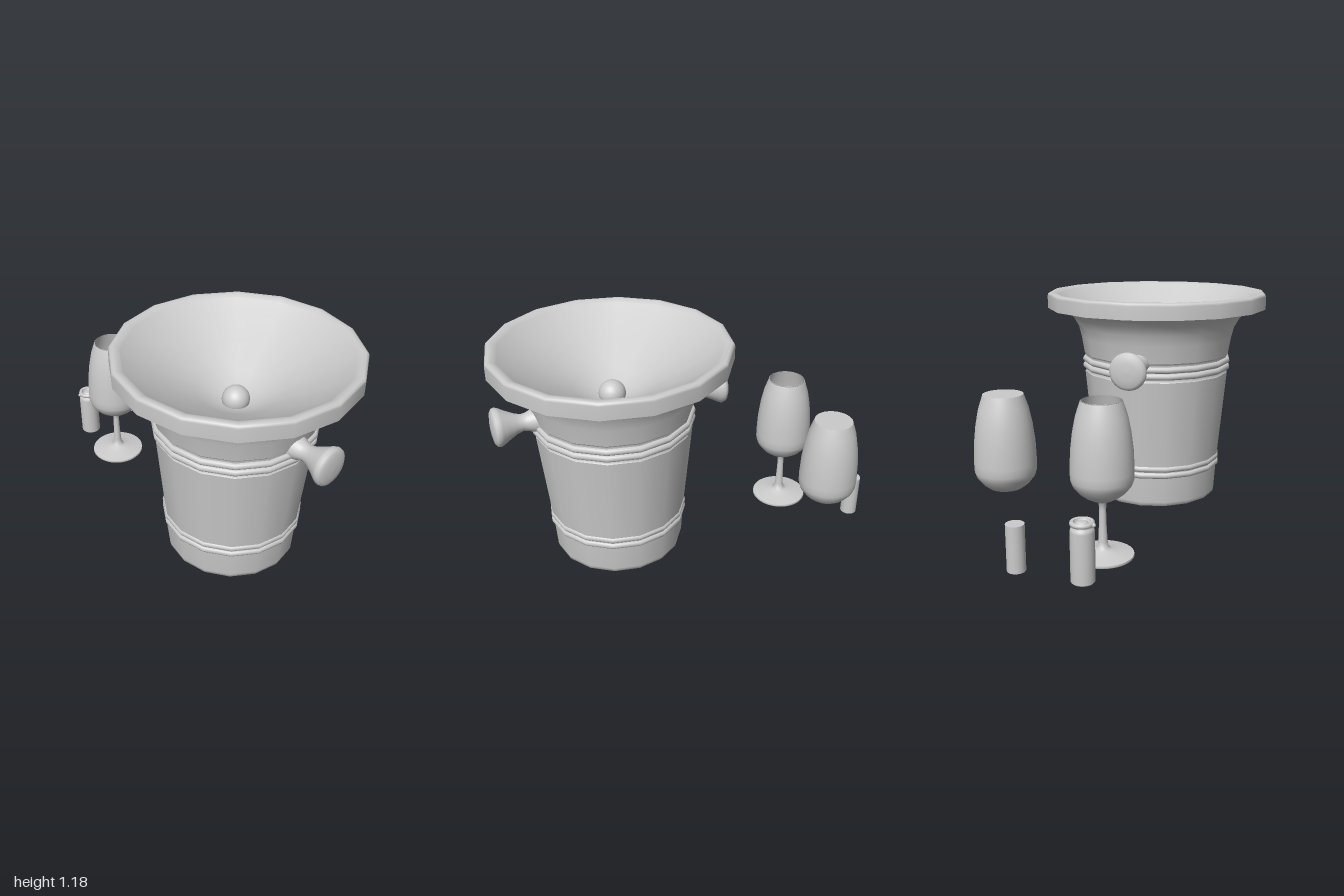
import * as THREE from 'three';

const grey = new THREE.MeshStandardMaterial({ color: 0xcccccc, side: THREE.DoubleSide });

// Spins one or more [radius, y] profiles; edges between separate profiles stay sharp.
function lathe(name, sides, ...profiles) {
  const part = new THREE.Group();
  part.name = name;
  for (const profile of profiles) {
    const points = profile.map(([r, y]) => new THREE.Vector2(r, y));
    const mesh = new THREE.Mesh(new THREE.LatheGeometry(points, sides), grey);
    mesh.name = name + 'Surface';
    part.add(mesh);
  }
  return part;
}

// Rounded double moulding that runs round the bucket wall
function moulding(name, y, radius) {
  const band = new THREE.Group();
  band.name = name;
  for (const offset of [-0.018, 0.019]) {
    const profile = [];
    for (let i = 0; i <= 8; i++) {
      const a = -Math.PI / 2 + (i / 8) * Math.PI;
      profile.push([radius - 0.016 + 0.016 * Math.cos(a), y + offset + 0.0175 * Math.sin(a)]);
    }
    band.add(lathe(name + 'Bead', 16, profile));
  }
  return band;
}

function createBucket() {
  const bucket = new THREE.Group();
  bucket.name = 'bucket';

  // Tapered wall flaring out under the rim
  bucket.add(lathe('bucketBody', 16,
    [[0, 0.004], [0.335, 0.004]],
    [[0.335, 0.004], [0.346, 0.008], [0.352, 0.03], [0.361, 0.17]],
    [[0.361, 0.17], [0.368, 0.25], [0.414, 0.73]],
    [[0.414, 0.73], [0.405, 0.742], [0.405, 0.822], [0.416, 0.835]],
    [[0.416, 0.835], [0.432, 0.93], [0.447, 0.99], [0.475, 1.04], [0.51, 1.075], [0.545, 1.096]]));

  // Thick rim
  bucket.add(lathe('rim', 16,
    [[0.53, 1.095], [0.62, 1.095]],
    [[0.62, 1.095], [0.62, 1.165], [0.616, 1.177], [0.605, 1.182], [0.585, 1.182], [0.565, 1.17]]));

  // Funnel insert with a ball in the middle
  bucket.add(lathe('funnel', 16,
    [[0.565, 1.17], [0.48, 1.11], [0.34, 1.025], [0.2, 0.945], [0.13, 0.905], [0.06, 0.88], [0, 0.875]]));
  const ball = new THREE.Mesh(new THREE.SphereGeometry(0.07, 24, 16), grey);
  ball.name = 'funnelBall';
  ball.position.y = 0.9;
  bucket.add(ball);

  bucket.add(moulding('upperMoulding', 0.782, 0.427));
  bucket.add(moulding('lowerMoulding', 0.21, 0.375));

  // Knob handles on both sides
  for (const side of [-1, 1]) {
    const knob = lathe(side > 0 ? 'leftKnob' : 'rightKnob', 32,
      [[0.064, 0.38], [0.057, 0.425], [0.047, 0.45], [0.043, 0.475], [0.052, 0.505], [0.075, 0.55],
        [0.093, 0.58], [0.1, 0.597], [0.096, 0.612], [0.08, 0.622], [0.045, 0.628], [0, 0.63]]);
    knob.rotation.z = -side * Math.PI / 2;
    knob.position.y = 0.83;
    bucket.add(knob);
  }
  bucket.position.set(0.366, 0, 0.015);
  return bucket;
}

const bowl = [[0.085, 0.312], [0.115, 0.335], [0.143, 0.37], [0.153, 0.4], [0.154, 0.44],
  [0.15, 0.54], [0.139, 0.63], [0.123, 0.71], [0.1, 0.779]];

function createGlass() {
  const glass = new THREE.Group();
  glass.name = 'wineGlass';
  // Foot and stem
  glass.add(lathe('footUnderside', 40, [[0, 0.022], [0.08, 0.012], [0.15, 0.003]]));
  glass.add(lathe('footAndStem', 40,
    [[0.15, 0.003], [0.154, 0.008], [0.152, 0.017]],
    [[0.152, 0.017], [0.09, 0.029], [0.045, 0.04], [0.028, 0.052], [0.023, 0.08], [0.019, 0.16],
      [0.017, 0.24], [0.019, 0.275], [0.035, 0.29]]));
  // Open bowl with thin wall
  const inner = bowl.map(([r, y]) => [r - 0.005, y + 0.003]).reverse();
  glass.add(lathe('bowlOutside', 40, [[0.018, 0.285], [0.05, 0.293], ...bowl]));
  glass.add(lathe('bowlInside', 40, [[0.1, 0.779], ...inner, [0.04, 0.3], [0, 0.297]]));
  glass.position.set(-0.655, 0, 0.01);
  return glass;
}

// Solid filling shaped like the inside of the bowl
function createFilling() {
  const wall = bowl.map(([r, y]) => [r - 0.002, y]);
  const filling = lathe('glassFilling', 40, [[0, 0.304], [0.05, 0.306], ...wall], [[0.098, 0.779], [0, 0.779]]);
  filling.position.set(-0.655, 0, -0.485);
  return filling;
}

function createJar() {
  // Body, neck groove, ring collar and recessed top
  const jar = lathe('smallJar', 32,
    [[0, 0.004], [0.052, 0.004]],
    [[0.052, 0.004], [0.057, 0.01], [0.057, 0.25], [0.053, 0.264], [0.046, 0.27], [0.046, 0.278]],
    [[0.046, 0.278], [0.055, 0.279], [0.058, 0.288], [0.055, 0.297], [0.048, 0.3], [0.04, 0.297]],
    [[0.04, 0.297], [0.036, 0.284], [0.03, 0.284]],
    [[0.03, 0.284], [0.027, 0.292], [0.018, 0.296], [0, 0.296]]);
  const tab = new THREE.Mesh(new THREE.SphereGeometry(0.01, 12, 8), grey);
  tab.name = 'collarTab';
  tab.position.set(-0.01, 0.287, 0.058);
  jar.add(tab);
  jar.position.set(-0.943, 0, 0.008);
  return jar;
}

// Plain cylinder that fits inside the jar
function createJarFilling() {
  const filling = new THREE.Mesh(new THREE.CylinderGeometry(0.045, 0.045, 0.23, 32), grey);
  filling.name = 'jarFilling';
  filling.position.set(-0.943, 0.133, -0.317);
  return filling;
}

export function createModel() {
  const model = new THREE.Group();
  model.name = 'tastingSet';
  model.add(createBucket(), createGlass(), createFilling(), createJar(), createJarFilling());
  return model;
}
